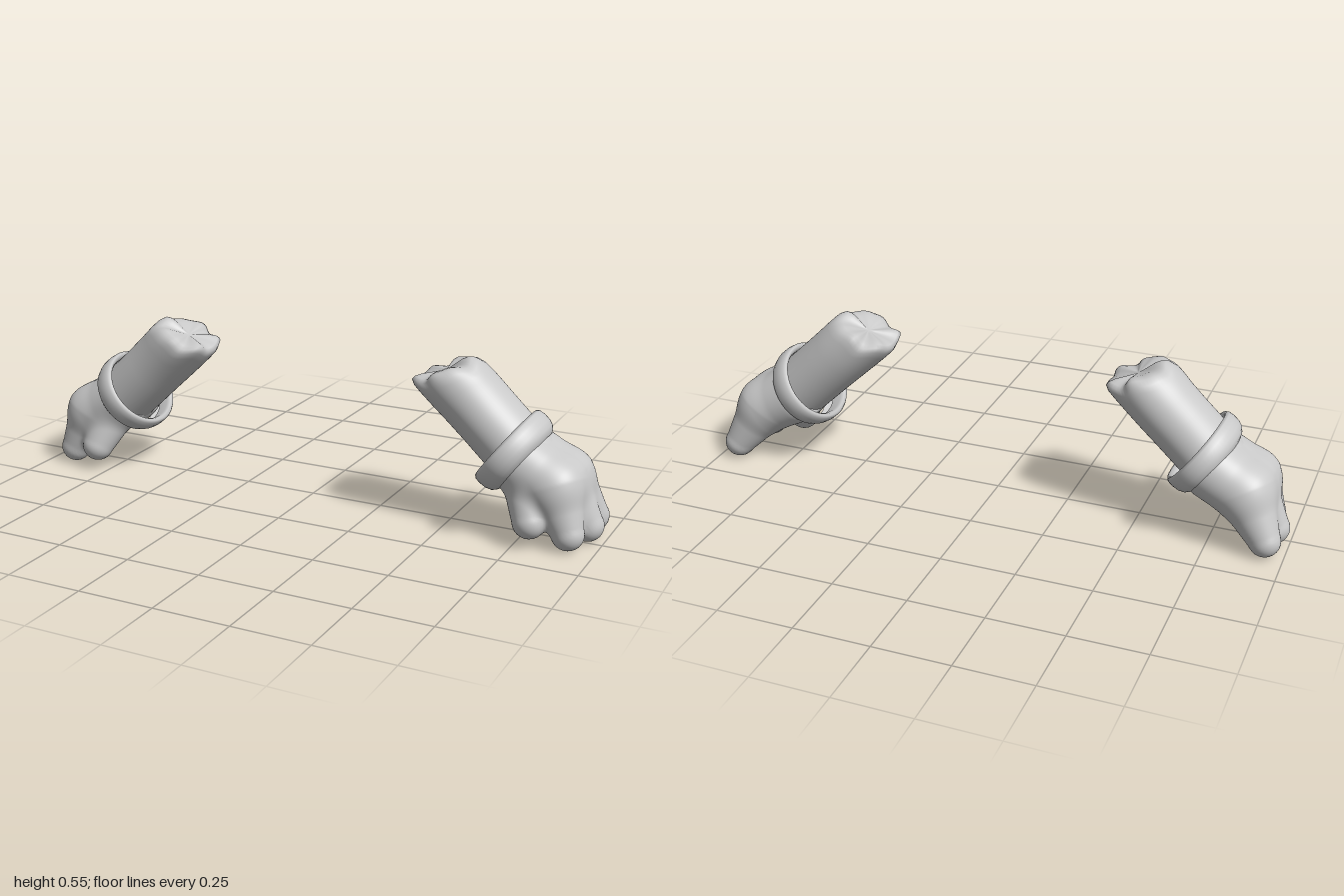
import * as THREE from 'three';
import { mergeVertices } from 'three/addons/utils/BufferGeometryUtils.js';

// Joins seams so shading stays smooth
function smooth(geo) {
  geo.deleteAttribute('uv');
  geo.deleteAttribute('normal');
  const g = mergeVertices(geo, 1e-5);
  g.computeVertexNormals();
  return g;
}

// Moves every vertex by a rule
function moveVertices(geo, rule) {
  const p = geo.attributes.position;
  const v = new THREE.Vector3();
  for (let i = 0; i < p.count; i++) {
    rule(v.fromBufferAttribute(p, i));
    p.setXYZ(i, v.x, v.y, v.z);
  }
  return geo;
}

function mirrorX(geo) {
  const g = geo.clone().scale(-1, 1, 1);
  const a = g.index.array;
  for (let i = 0; i < a.length; i += 3) [a[i], a[i + 1]] = [a[i + 1], a[i]];
  g.computeVertexNormals();
  return g;
}

const lathe = (pts, n) => new THREE.LatheGeometry(pts.map(([r, y]) => new THREE.Vector2(r, y)), n);

// Forearm with a slanted, puckered end
function armGeometry() {
  const g = lathe([[0.104, -0.38], [0.104, -0.2], [0.105, -0.13], [0.106, -0.08], [0.106, -0.04], [0.105, -0.015],
    [0.098, 0.005], [0.085, 0.012], [0.065, 0.013], [0.04, 0.009], [0.02, 0.006], [0, 0.004]], 64);
  moveVertices(g, (v) => {
    const w = THREE.MathUtils.smoothstep(v.y, -0.16, 0.0);
    const a = Math.atan2(v.z, v.x);
    const r = Math.hypot(v.x, v.z) / 0.106;
    v.y += w * (-0.42 * v.x + r * (0.009 * Math.cos(5 * a) + 0.005 * Math.sin(8 * a + 1)));
    v.z = v.z * 1.12 + 0.008 * w;
  });
  return smooth(g.rotateZ(0.813).translate(0.474, 0.501, 0));
}

// Rolled cuff, open towards the forearm
function cuffGeometry() {
  const g = lathe([[0.112, -0.085], [0.124, -0.079], [0.135, -0.068], [0.142, -0.05], [0.144, -0.028], [0.142, -0.009],
    [0.135, 0], [0.126, -0.003], [0.119, -0.014], [0.116, -0.05]], 64);
  g.scale(1, 1, 1.14).rotateZ(0.935).translate(0.675, 0.29, 0);
  return smooth(g);
}

// Rounded limbs of the glove: chains of [x, y, z, radius]
const chains = [[0.08, 0.912], [-0.02, 0.945], [-0.112, 0.935]].map(([z, x]) => {
  const zm = -0.012 + (z + 0.02) * 0.55;
  return [[0.745, 0.24, zm * 0.8, 0.1], [0.85, 0.185, zm, 0.094], [x, 0.055, z, 0.052]];
});
chains.push([[0.765, 0.19, 0.05, 0.075], [0.797, 0.085, 0.11, 0.053]]);

const limbs = [];
for (const c of chains) {
  for (let i = 0; i + 1 < c.length; i++) {
    const a = new THREE.Vector3(...c[i]);
    const ab = new THREE.Vector3(...c[i + 1]).sub(a);
    limbs.push({ a, ab, ra: c[i][3], rb: c[i + 1][3] });
  }
}

// Distance to the softly blended limbs, cut flat inside the cuff
const q = new THREE.Vector3();
function gloveDistance(p) {
  const k = 0.022;
  let d = 1;
  for (const { a, ab, ra, rb } of limbs) {
    q.subVectors(p, a);
    const t = THREE.MathUtils.clamp(q.dot(ab) / ab.lengthSq(), 0, 1);
    const e = q.addScaledVector(ab, -t).length() - (ra + (rb - ra) * t);
    const h = Math.max(k - Math.abs(d - e), 0) / k;
    d = Math.min(d, e) - h * h * k * 0.25;
  }
  return Math.max(d, 0.41 - (0.805 * p.x - 0.593 * p.y));
}

// Glove: a sphere shrunk onto the blended limbs
function gloveGeometry() {
  const centre = new THREE.Vector3(0.84, 0.17, 0);
  const dir = new THREE.Vector3();
  const g = new THREE.SphereGeometry(1, 128, 96);
  moveVertices(g, (v) => {
    dir.copy(v).normalize();
    let s = 0.4;
    for (let i = 0; i < 90; i++) {
      v.copy(centre).addScaledVector(dir, s);
      s = Math.max(s - 0.7 * gloveDistance(v), 0.01);
    }
    v.copy(centre).addScaledVector(dir, s);
    v.y = Math.max(v.y, 0);
  });
  return smooth(g);
}

export function createModel() {
  const grey = new THREE.MeshStandardMaterial({ color: 0xc8c8c8 });
  grey.name = 'lightGrey';
  const lining = grey;
  lining.side = THREE.DoubleSide;

  const parts = { forearm: armGeometry(), cuff: cuffGeometry(), glove: gloveGeometry() };
  const model = new THREE.Group();
  model.name = 'glovedArms';
  for (const side of ['left', 'right']) {
    const arm = new THREE.Group();
    arm.name = side + 'Arm';
    for (const [name, geo] of Object.entries(parts)) {
      const mesh = new THREE.Mesh(side === 'left' ? geo : mirrorX(geo), grey);
      mesh.name = side + name[0].toUpperCase() + name.slice(1);
      arm.add(mesh);
    }
    model.add(arm);
  }
  return model;
}
